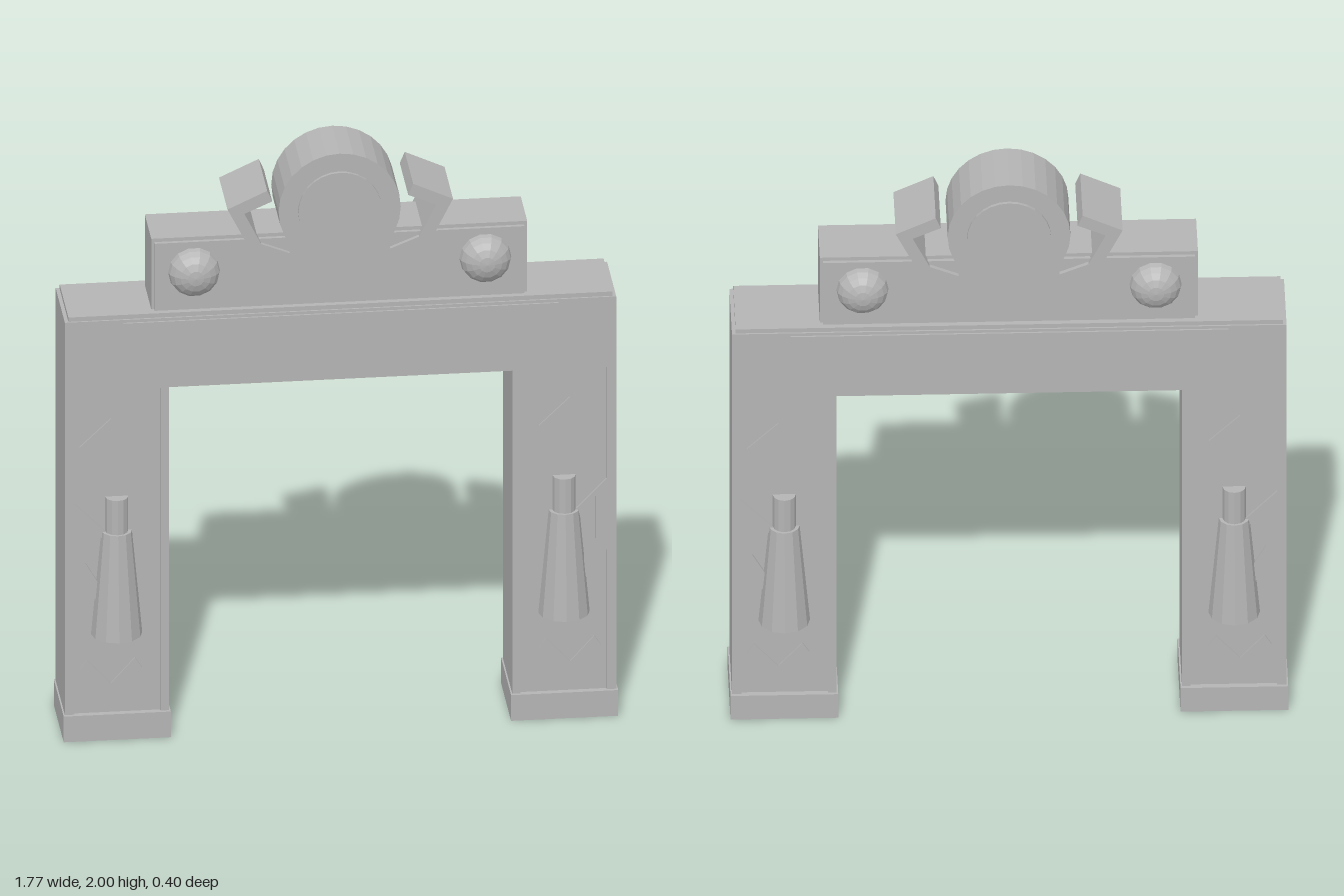
import * as THREE from 'three';

export function createModel() {
  const gate = new THREE.Group();
  gate.name = 'gate';
  const stone = new THREE.MeshStandardMaterial({ color: 0xb4b4b4, flatShading: true });
  stone.name = 'grey stone';

  const add = (name, geometry, parent = gate, x = 0, y = 0, z = 0) => {
    const mesh = new THREE.Mesh(geometry, stone);
    mesh.name = name;
    mesh.position.set(x, y, z);
    parent.add(mesh);
    return mesh;
  };
  // Box given by its limits
  const box = (name, x0, x1, y0, y1, halfDepth) =>
    add(name, new THREE.BoxGeometry(x1 - x0, y1 - y0, halfDepth * 2), gate, (x0 + x1) / 2, (y0 + y1) / 2);
  // Flat outline, optionally mirrored to the other side
  const outline = (points, side = 1) =>
    new THREE.Shape(points.map(([x, y]) => new THREE.Vector2(x * side, y)));
  const slab = (shape, z0, z1) => {
    const g = new THREE.ExtrudeGeometry(shape, { depth: z1 - z0, bevelEnabled: false });
    return g.translate(0, 0, z0);
  };

  // Arch: two legs joined by a beam
  const archPoints = [[-0.88, 0.02], [-0.548, 0.02], [-0.548, 1.222], [0.548, 1.222],
    [0.548, 0.02], [0.88, 0.02], [0.88, 1.465], [-0.88, 1.465]];
  add('arch', slab(outline(archPoints), -0.121, 0.121));
  box('archCap', -0.868, 0.868, 1.46, 1.48, 0.124);

  // Raised frame with a sunken panel in each leg
  const frame = outline(archPoints);
  for (const side of [-1, 1]) {
    frame.holes.push(outline([[0.575, 0.09], [0.85, 0.09], [0.85, 1.22], [0.575, 1.22]], side));
  }

  // Feet
  for (const side of [-1, 1]) {
    const a = side * 0.543, b = side * 0.885;
    box('foot', Math.min(a, b), Math.max(a, b), 0, 0.09, 0.141);
  }

  // Upper sign block
  box('signBlock', -0.6, 0.6, 1.475, 1.727, 0.092);
  box('signPanel', -0.59, 0.59, 1.475, 1.715, 0.105);

  // Central medallion
  const disc = (name, r, depth) =>
    add(name, new THREE.CylinderGeometry(r, r, depth, 28).rotateX(Math.PI / 2), gate, 0, 1.805);
  disc('medallion', 0.195, 0.21);
  disc('medallionCentre', 0.133, 0.232);

  // Hooked brackets beside the medallion
  const hook = [[0.233, 1.889], [0.217, 1.851], [0.306, 1.812], [0.252, 1.703],
    [0.16, 1.666], [0.175, 1.627], [0.28, 1.671], [0.36, 1.83]];
  for (const side of [-1, 1]) add('hook', slab(outline(hook, side), -0.12, 0.12));

  // Ornaments repeated on the front and the back
  const chevron = [[0.733, 1.119], [0.832, 1.024], [0.81, 0.99], [0.733, 1.076],
    [0.656, 0.99], [0.634, 1.024]];
  const lowerChevron = chevron.map(([x, y]) => [x, 1.268 - y]);
  const sideTrim = [[0.852, 0.83], [0.745, 0.72], [0.76, 0.7], [0.815, 0.77], [0.815, 0.62],
    [0.775, 0.55], [0.775, 0.48], [0.852, 0.582]];
  for (const turn of [0, Math.PI]) {
    const face = new THREE.Group();
    face.name = turn ? 'backFace' : 'frontFace';
    face.rotation.y = turn;
    gate.add(face);
    add('frame', slab(frame, 0.12, 0.13), face);
    add('beamPanel', new THREE.BoxGeometry(1.39, 0.21, 0.009), face, 0, 1.35, 0.1315);
    for (const side of [-1, 1]) {
      add('upperChevron', slab(outline(chevron, side), 0.12, 0.127), face);
      add('lowerChevron', slab(outline(lowerChevron, side), 0.12, 0.127), face);
      add('sideTrim', slab(outline(sideTrim, side), 0.12, 0.13), face);
      // Tapered torch with its neck
      add('torch', new THREE.CylinderGeometry(0.05, 0.083, 0.36, 12), face, side * 0.714, 0.545, 0.117);
      add('torchNeck', new THREE.CylinderGeometry(0.037, 0.037, 0.13, 12), face, side * 0.714, 0.78, 0.122);
      // Domed stud
      const stud = new THREE.SphereGeometry(0.083, 14, 5, 0, Math.PI * 2, 0, Math.PI / 2);
      stud.rotateX(Math.PI / 2).scale(1, 1, 0.75);
      add('stud', stud, face, side * 0.465, 1.612, 0.104);
    }
  }
  return gate;
}
